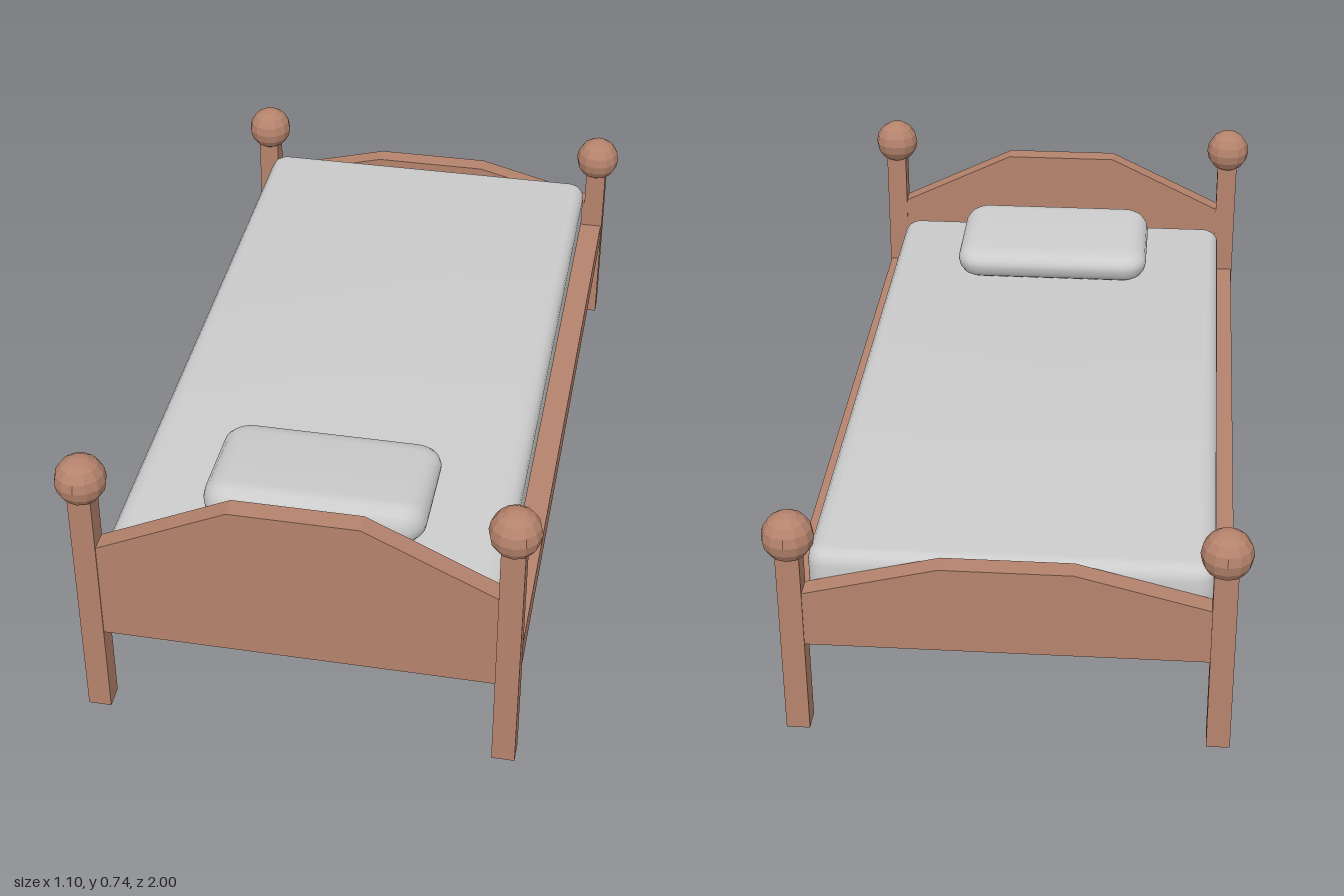
import * as THREE from 'three';
import { toCreasedNormals } from 'three/addons/utils/BufferGeometryUtils.js';

const wood = new THREE.MeshStandardMaterial({ color: 0xb5836c });
const woodFlat = new THREE.MeshStandardMaterial({ color: 0xb5836c, flatShading: true });
const fabric = new THREE.MeshStandardMaterial({ color: 0xcccccc });

const POST_X = 0.49, POST_Z = 0.94, POST = 0.055;

function addMesh(parent, name, geometry, material, x = 0, y = 0, z = 0) {
  const mesh = new THREE.Mesh(geometry, material);
  mesh.name = name;
  mesh.position.set(x, y, z);
  parent.add(mesh);
  return mesh;
}

// Soft block: rounded plan outline with a rounded rim, standing on y = 0
function cushion(width, depth, height, corner, rim, rimHeight) {
  const a = width / 2, b = depth / 2, c = corner;
  const s = new THREE.Shape();
  s.moveTo(-a + c, -b);
  s.lineTo(a - c, -b);
  s.absarc(a - c, -b + c, c, -Math.PI / 2, 0);
  s.absarc(a - c, b - c, c, 0, Math.PI / 2);
  s.absarc(-a + c, b - c, c, Math.PI / 2, Math.PI);
  s.absarc(-a + c, -b + c, c, Math.PI, Math.PI * 1.5);
  const g = new THREE.ExtrudeGeometry(s, {
    depth: height - 2 * rimHeight, bevelEnabled: true, bevelSize: rim, bevelOffset: -rim,
    bevelThickness: rimHeight, bevelSegments: 4, curveSegments: 5,
  });
  g.translate(0, 0, rimHeight);
  g.rotateX(-Math.PI / 2);
  return g;
}

// End board with a raised flat crest between two sloping shoulders
function endBoard(shoulder, crest) {
  const s = new THREE.Shape();
  s.moveTo(-POST_X, 0.24);
  s.lineTo(POST_X, 0.24);
  s.lineTo(POST_X, shoulder);
  s.lineTo(0.462, shoulder);
  s.lineTo(0.152, crest);
  s.lineTo(-0.152, crest);
  s.lineTo(-0.462, shoulder);
  s.lineTo(-POST_X, shoulder);
  s.closePath();
  const g = new THREE.ExtrudeGeometry(s, { depth: 0.05, bevelEnabled: false });
  return g.translate(0, 0, -0.025);
}

export function createModel() {
  const bed = new THREE.Group();
  bed.name = 'bed';

  // Head end faces +z, foot end -z
  const ends = [
    { name: 'head', z: POST_Z, ballY: 0.68, shoulder: 0.5, crest: 0.65 },
    { name: 'foot', z: -POST_Z, ballY: 0.52, shoulder: 0.38, crest: 0.46 },
  ];
  for (const e of ends) {
    addMesh(bed, e.name + 'board', endBoard(e.shoulder, e.crest), wood, 0, 0, e.z);
    for (const [side, sx] of [['Left', 1], ['Right', -1]]) {
      addMesh(bed, e.name + 'Post' + side, new THREE.BoxGeometry(POST, e.ballY, POST),
        wood, sx * POST_X, e.ballY / 2, e.z);
      addMesh(bed, e.name + 'Ball' + side, new THREE.SphereGeometry(0.06, 12, 8),
        woodFlat, sx * POST_X, e.ballY, e.z);
    }
  }

  // Solid base slab between the ends
  addMesh(bed, 'base', new THREE.BoxGeometry(1.03, 0.07, 1.88), wood, 0, 0.27, 0);

  // Mattress
  const mattress = toCreasedNormals(cushion(0.93, 1.81, 0.15, 0.045, 0.035, 0.035), 0.7);
  addMesh(bed, 'mattress', mattress, fabric, -0.005, 0.305, -0.01);

  // Pillow: top slopes down toward the foot and drops off at the head edge
  const pillow = cushion(0.53, 0.325, 0.1, 0.065, 0.05, 0.045);
  const p = pillow.attributes.position;
  for (let i = 0; i < p.count; i++) {
    const lift = Math.max(0, p.getY(i) - 0.045) / 0.055;
    p.setY(i, p.getY(i) + lift * (p.getZ(i) * 0.09 - 0.005));
  }
  addMesh(bed, 'pillow', toCreasedNormals(pillow, 0.7), fabric, 0, 0.455, 0.638);

  return bed;
}
